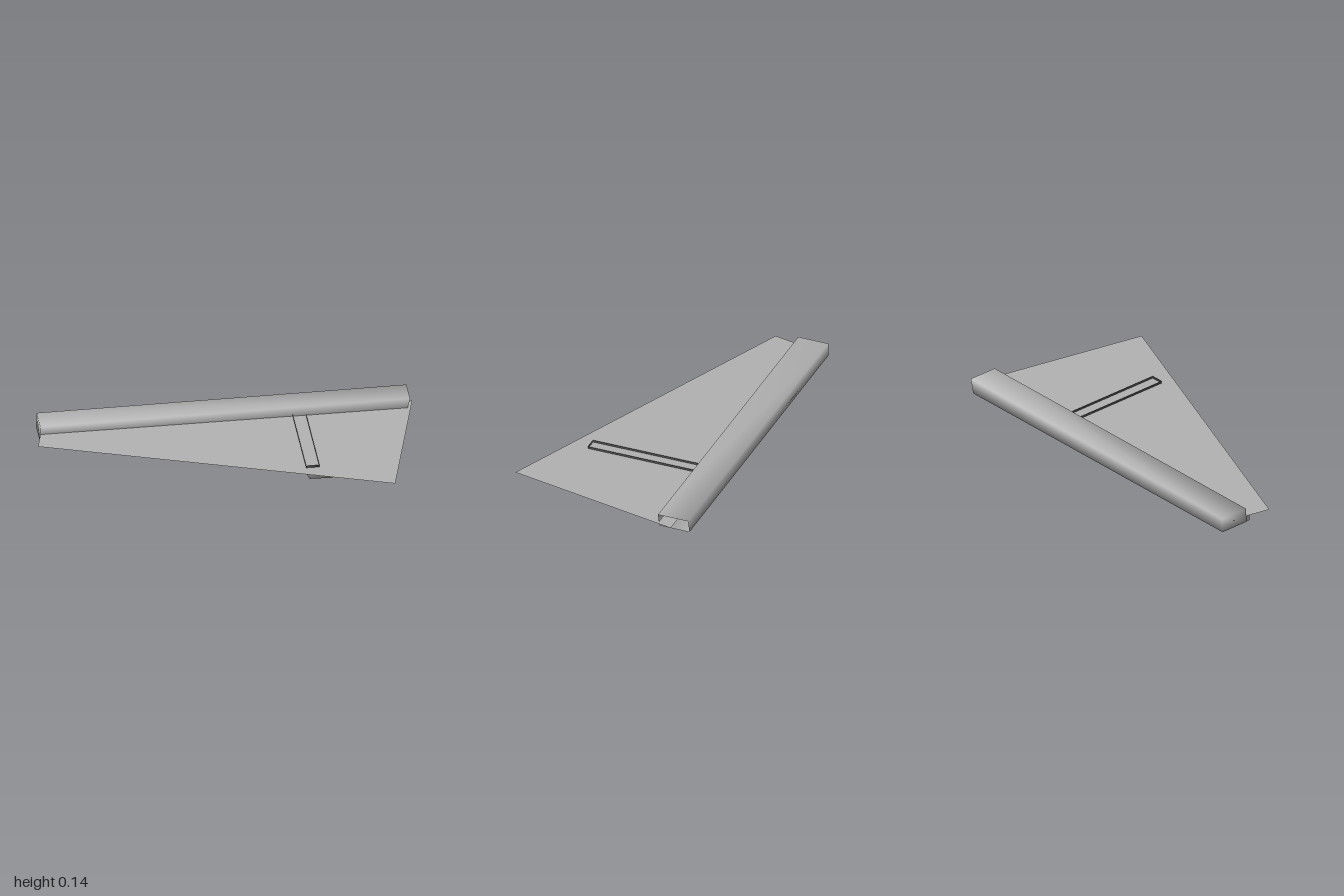
import * as THREE from 'three';

const panelGray = new THREE.MeshStandardMaterial({ color: 0xb2b2b2, side: THREE.DoubleSide });
panelGray.name = 'panelGray';
const rimGray = new THREE.MeshStandardMaterial({ color: 0x505050, side: THREE.DoubleSide });
rimGray.name = 'rimGray';

// Height of the tilted wing plane at a given x
const planeY = (x) => 0.061 + 0.0245 * x;

// Smooth skin between two matching closed sections, with optional end caps
function loft(a, b, capA = false, capB = false) {
  const n = a.length;
  const index = [];
  for (let i = 0; i < n; i++) {
    const j = (i + 1) % n;
    index.push(i, j, n + j, i, n + j, n + i);
  }
  for (let i = 1; i < n - 1; i++) {
    if (capA) index.push(0, i + 1, i);
    if (capB) index.push(n, n + i, n + i + 1);
  }
  const geo = new THREE.BufferGeometry();
  geo.setAttribute('position', new THREE.Float32BufferAttribute([...a, ...b].flat(), 3));
  geo.setIndex(index);
  geo.computeVertexNormals();
  return geo;
}

export function createModel() {
  const model = new THREE.Group();
  const add = (name, geo, material = panelGray) => {
    const mesh = new THREE.Mesh(geo, material);
    mesh.name = name;
    model.add(mesh);
    return mesh;
  };

  // Thin tilted skin, its rear edge tucked inside the beam
  const corners = [[-1, -0.22], [0.8, 0.52], [1, -0.44], [-0.955, -0.44]];
  const skin = new THREE.BufferGeometry();
  skin.setAttribute('position', new THREE.Float32BufferAttribute(
    corners.flatMap(([x, z]) => [x, planeY(x), z]), 3));
  skin.setIndex([0, 1, 2, 0, 2, 3]);
  skin.computeVertexNormals();
  add('wingSkin', skin);

  // Hollow rear beam, open at the high end
  const beamEnd = (xTop, xBottom, top, bottom) => [
    [xBottom, bottom, -0.36], [xTop, top, -0.36], [xTop, top, -0.53], [xBottom, bottom, -0.53],
  ];
  add('rearBeam', loft(
    beamEnd(0.98, 0.96, 0.137, 0.058),
    beamEnd(-0.972, -0.976, 0.081, 0.005), false, true));

  // Faceted fairing under the skin, raked at the front
  const profile = [[0.34, 0.069], [0.355, 0.05], [0.38, 0], [0.5, 0], [0.54, 0.05], [0.555, 0.074]];
  const section = (z, rake) => profile.map(([x, y]) => [x, y, z + rake * y]);
  add('fairing', loft(section(-0.355, 0), section(0.25, 0.13), true, true));

  // Low upright rim around the slot above the fairing
  const rimAt = (lift) => [[0.36, 0.26], [0.43, 0.26], [0.43, -0.37], [0.36, -0.37]]
    .map(([x, z]) => [x, planeY(x) + lift, z]);
  add('slotRim', loft(rimAt(-0.005), rimAt(0.012)), rimGray);

  // Small end bracket at the low tip
  const bracket = add('endBracket', new THREE.BoxGeometry(0.035, 0.032, 0.03));
  bracket.position.set(-0.955, 0.021, -0.35);

  return model;
}
